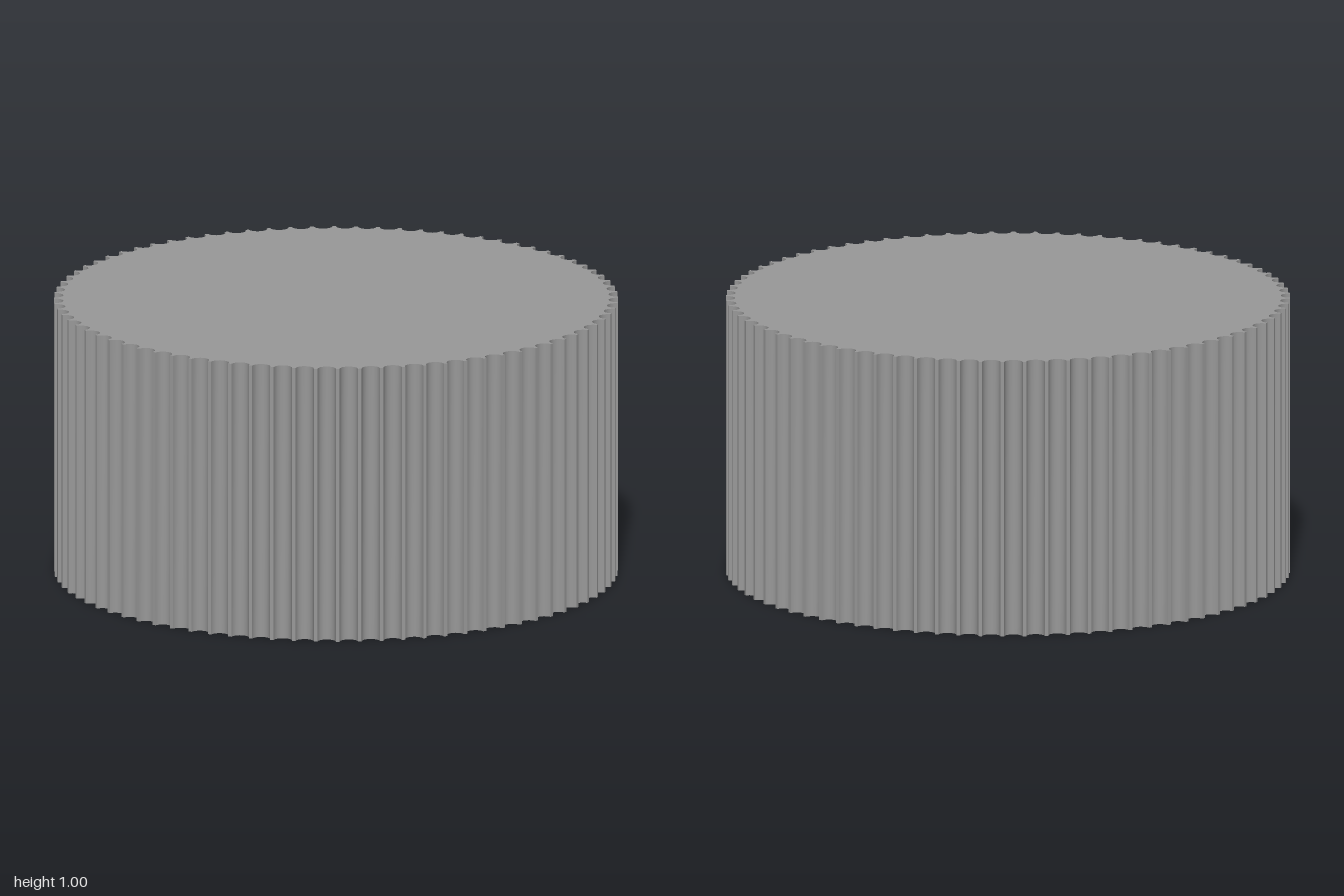
import * as THREE from 'three';
import { toCreasedNormals } from 'three/addons/utils/BufferGeometryUtils.js';

const HEIGHT = 1, FLUTES = 80, FLUTE_R = 0.033, FLUTE_STEPS = 8;
const CAVITY_R = 0.87, CEILING = 0.88, HUB_R = 0.4, BORE_R = 0.235, SEGMENTS = 96;

// Scalloped outline: half-round grooves with narrow ridges between them
function flutedOutline() {
  const points = [];
  for (let i = 0; i < FLUTES; i++) {
    const turn = (i / FLUTES) * Math.PI * 2;
    for (let j = 0; j <= FLUTE_STEPS; j++) {
      const a = (j / FLUTE_STEPS - 0.5) * Math.PI;
      const p = new THREE.Vector2(1 - FLUTE_R * Math.cos(a), FLUTE_R * Math.sin(a));
      points.push(p.rotateAround(new THREE.Vector2(), turn));
    }
  }
  return points;
}

function circle(radius) {
  return Array.from({ length: SEGMENTS }, (_, i) => {
    const a = (i / SEGMENTS) * Math.PI * 2;
    return new THREE.Vector2(radius * Math.cos(a), radius * Math.sin(a));
  });
}

// Upright wall following a closed outline
function wallGeometry(outline) {
  const positions = [];
  outline.forEach((p, i) => {
    const q = outline[(i + 1) % outline.length];
    positions.push(p.x, 0, -p.y, q.x, 0, -q.y, q.x, HEIGHT, -q.y);
    positions.push(p.x, 0, -p.y, q.x, HEIGHT, -q.y, p.x, HEIGHT, -p.y);
  });
  const geometry = new THREE.BufferGeometry();
  geometry.setAttribute('position', new THREE.Float32BufferAttribute(positions, 3));
  return toCreasedNormals(geometry, 0.6);
}

export function createModel() {
  const group = new THREE.Group();
  group.name = 'flutedKnob';
  const grey = new THREE.MeshStandardMaterial({ color: 0x999999 });
  grey.name = 'grey';
  const add = (name, geometry) => {
    const mesh = new THREE.Mesh(geometry, grey);
    mesh.name = name;
    group.add(mesh);
  };

  const outline = flutedOutline();
  add('flutedGrip', wallGeometry(outline));

  // Flat top
  const top = new THREE.ShapeGeometry(new THREE.Shape(outline));
  add('topFace', top.rotateX(-Math.PI / 2).translate(0, HEIGHT, 0));

  // Underside rim around the open cavity
  const rimShape = new THREE.Shape(outline);
  rimShape.holes.push(new THREE.Path(circle(CAVITY_R)));
  add('bottomRim', new THREE.ShapeGeometry(rimShape).rotateX(Math.PI / 2));

  // Hollow underside: shaft bore, hub, ceiling and cavity wall
  const profile = [
    [0, CEILING], [BORE_R, CEILING], [BORE_R, 0], [HUB_R, 0],
    [HUB_R, CEILING], [CAVITY_R, CEILING], [CAVITY_R, 0],
  ].map(([r, y]) => new THREE.Vector2(r, y));
  add('cavityAndHub', toCreasedNormals(new THREE.LatheGeometry(profile, SEGMENTS), 0.6));

  return group;
}
